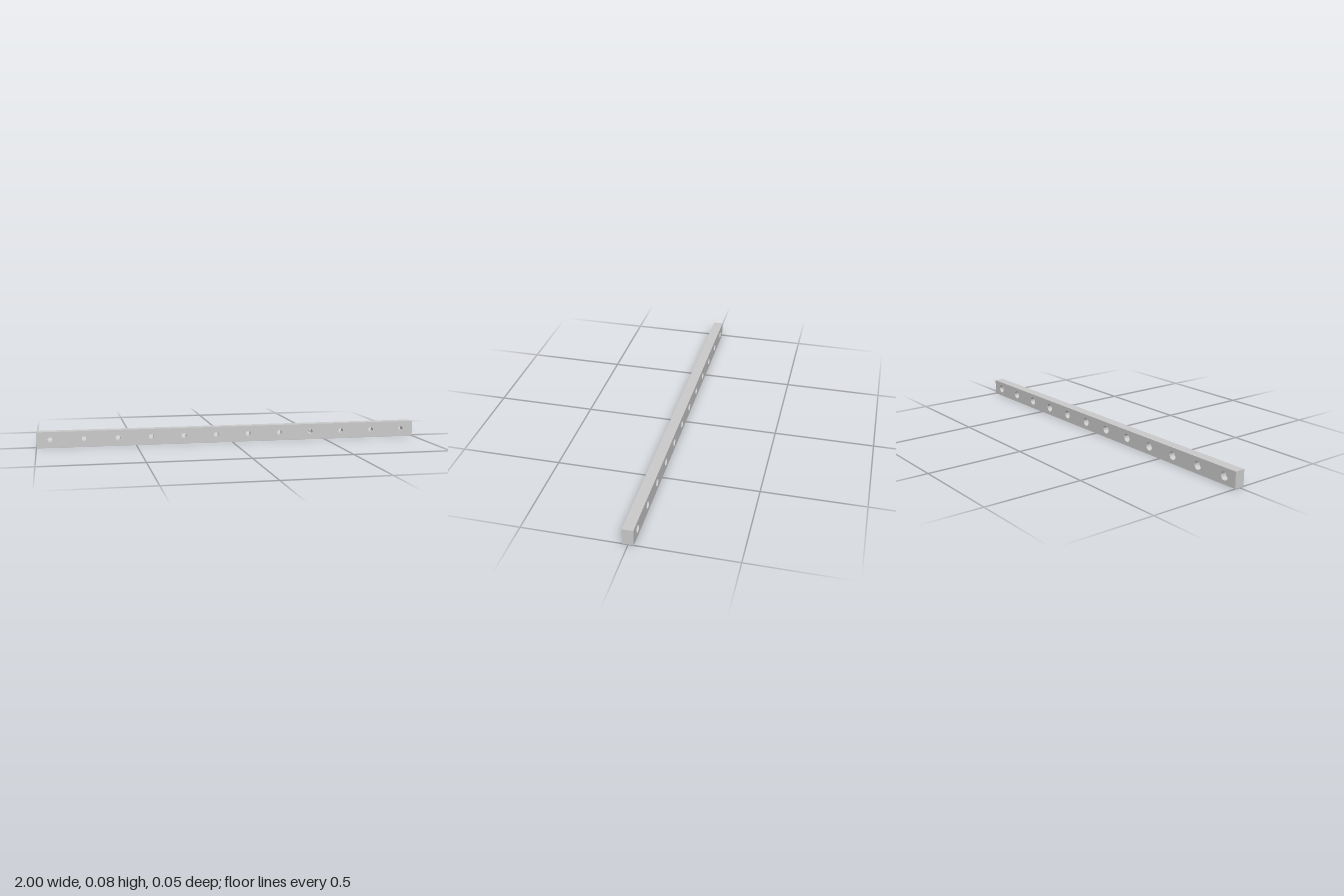
import * as THREE from 'three';

const L = 2, H = 0.0815, D = 0.0525;        // bar length, height, thickness
const COUNT = 12, PITCH = 0.1695;           // row of bolt holes
const R_BOLT = 0.0125, R_HEAD = 0.0208;     // through hole, counterbore
const HEAD_DEPTH = 0.0305, SEG = 32;

const grey = new THREE.MeshStandardMaterial({ color: 0xcccccc });
const greyDouble = new THREE.MeshStandardMaterial({ color: 0xcccccc, side: THREE.DoubleSide });
const holeXs = Array.from({ length: COUNT }, (_, i) => (i - (COUNT - 1) / 2) * PITCH);

function add(parent, name, geometry, material = grey) {
  const mesh = new THREE.Mesh(geometry, material);
  mesh.name = name;
  parent.add(mesh);
  return mesh;
}

// Rectangular face pierced by a row of round holes
function piercedFace(radius) {
  const s = new THREE.Shape();
  s.moveTo(-L / 2, -H / 2);
  s.lineTo(L / 2, -H / 2);
  s.lineTo(L / 2, H / 2);
  s.lineTo(-L / 2, H / 2);
  s.closePath();
  for (const x of holeXs) {
    s.holes.push(new THREE.Path().absarc(x, 0, radius, 0, Math.PI * 2, true));
  }
  return new THREE.ShapeGeometry(s, SEG);
}

// Open tube along z between two depths
function bore(radius, z0, z1) {
  return new THREE.CylinderGeometry(radius, radius, z1 - z0, SEG, 1, true)
    .rotateX(Math.PI / 2).translate(0, 0, (z0 + z1) / 2);
}

export function createModel() {
  const model = new THREE.Group();
  model.name = 'rail';
  const bar = new THREE.Group();
  bar.name = 'bar';
  bar.position.y = H / 2;
  model.add(bar);

  // Long faces: small holes in front, counterbores behind
  add(bar, 'frontFace', piercedFace(R_BOLT).translate(0, 0, D / 2));
  add(bar, 'backFace', piercedFace(R_HEAD).rotateY(Math.PI).translate(0, 0, -D / 2));

  // Top, bottom and ends
  for (const s of [1, -1]) {
    add(bar, s > 0 ? 'topFace' : 'bottomFace',
      new THREE.PlaneGeometry(L, D).rotateX(-s * Math.PI / 2).translate(0, s * H / 2, 0));
    add(bar, s > 0 ? 'leftEnd' : 'rightEnd',
      new THREE.PlaneGeometry(D, H).rotateY(s * Math.PI / 2).translate(s * L / 2, 0, 0));
  }

  // Stepped walls of each bolt hole
  const step = -D / 2 + HEAD_DEPTH;
  const boltBore = bore(R_BOLT, step, D / 2);
  const headBore = bore(R_HEAD, -D / 2, step);
  const seat = new THREE.RingGeometry(R_BOLT, R_HEAD, SEG).rotateY(Math.PI).translate(0, 0, step);
  holeXs.forEach((x, i) => {
    const hole = new THREE.Group();
    hole.name = `boltHole${i + 1}`;
    hole.position.x = x;
    add(hole, 'throughBore', boltBore, greyDouble);
    add(hole, 'counterbore', headBore, greyDouble);
    add(hole, 'counterboreSeat', seat);
    bar.add(hole);
  });
  return model;
}
